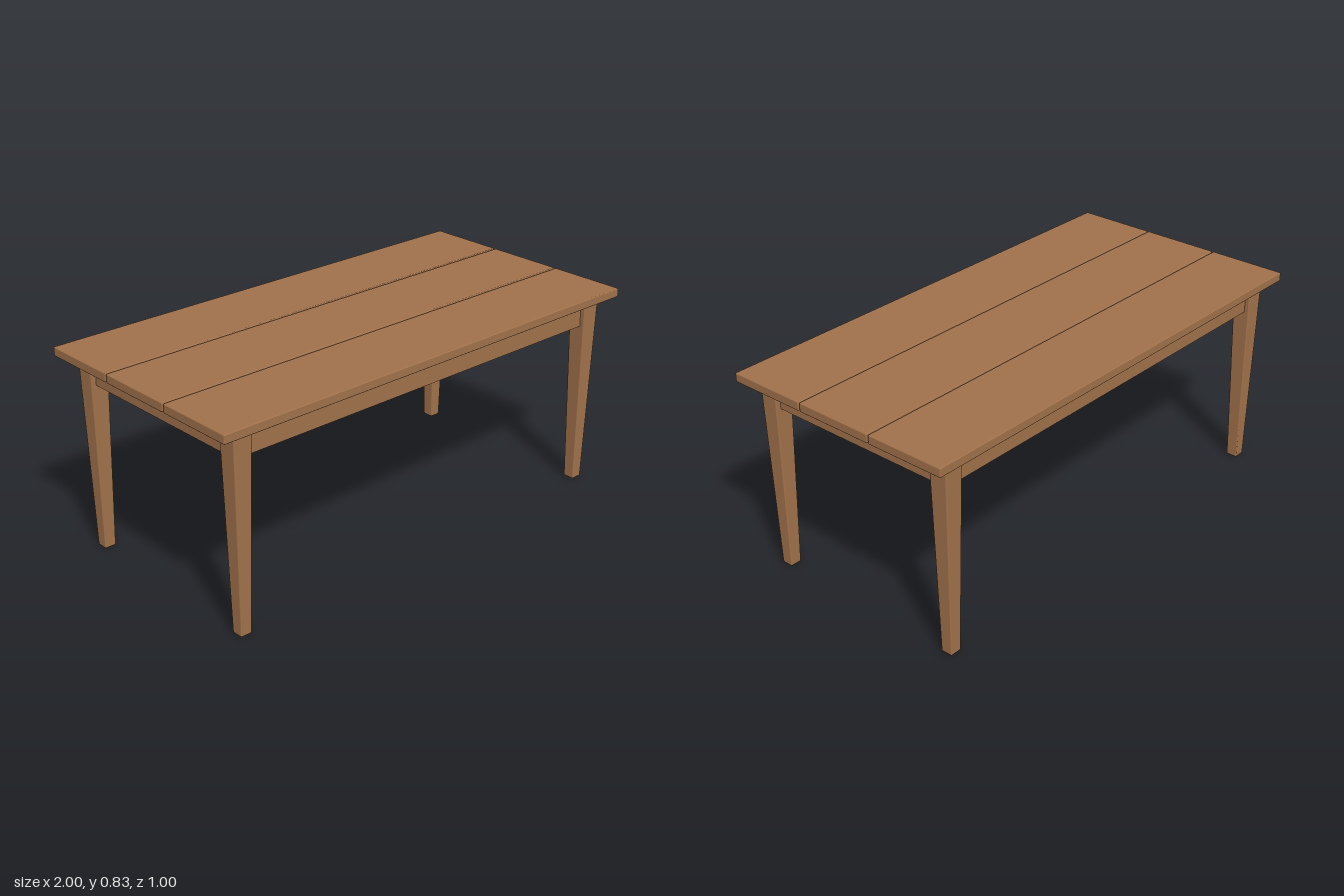
import * as THREE from 'three';
import { RoundedBoxGeometry } from 'three/addons/geometries/RoundedBoxGeometry.js';

const LEG_X = 0.889, LEG_Z = 0.417, LEG_H = 0.79;

export function createModel() {
  const table = new THREE.Group();
  table.name = 'table';
  const wood = new THREE.MeshStandardMaterial({ color: 0xa0714a });
  wood.name = 'warm wood';

  const add = (name, geometry, x, y, z) => {
    const mesh = new THREE.Mesh(geometry, wood);
    mesh.name = name;
    mesh.position.set(x, y, z);
    table.add(mesh);
  };

  // Three top planks with narrow gaps
  const plank = new RoundedBoxGeometry(2, 0.036, 0.329, 2, 0.004);
  for (const i of [-1, 0, 1]) add('topPlank', plank, 0, 0.815, i * 0.3355);

  // Thin panel carrying the planks
  add('supportPanel', new THREE.BoxGeometry(1.78, 0.013, 0.84), 0, 0.7912, 0);

  // Four square legs, tapering towards the foot
  const leg = new RoundedBoxGeometry(0.08, LEG_H, 0.08, 2, 0.007);
  const p = leg.attributes.position;
  for (let i = 0; i < p.count; i++) {
    const t = p.getY(i) / LEG_H + 0.5;
    const s = THREE.MathUtils.lerp(0.6, 1, t);
    p.setX(i, p.getX(i) * s);
    p.setZ(i, p.getZ(i) * s);
  }
  for (const sx of [-1, 1])
    for (const sz of [-1, 1]) add('leg', leg, sx * LEG_X, LEG_H / 2, sz * LEG_Z);

  // Apron rails joining the legs
  const longRail = new THREE.BoxGeometry(LEG_X * 2 - 0.05, 0.096, 0.036);
  const shortRail = new THREE.BoxGeometry(0.036, 0.096, LEG_Z * 2 - 0.05);
  for (const s of [-1, 1]) {
    add('longApron', longRail, 0, 0.739, s * LEG_Z);
    add('shortApron', shortRail, s * LEG_X, 0.739, 0);
  }
  return table;
}
